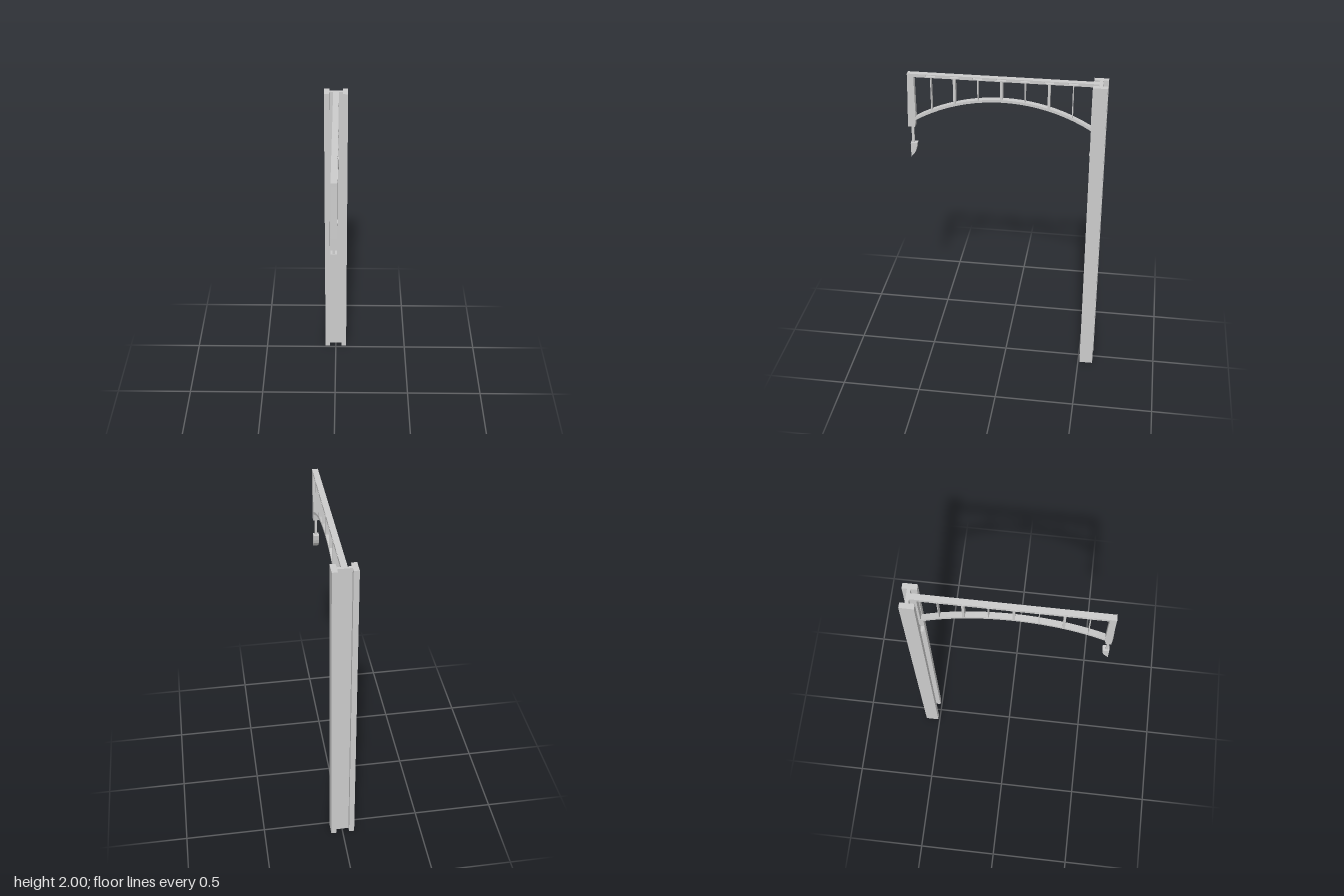
import * as THREE from 'three';

const HALF = 0.018;      // half width of the arm
const MID = 0.02;        // centre of the arm along z
const material = new THREE.MeshStandardMaterial({ color: 0xcccccc, flatShading: true });

export function createModel() {
  const group = new THREE.Group();

  const add = (name, geometry) => {
    const mesh = new THREE.Mesh(geometry, material);
    mesh.name = name;
    group.add(mesh);
    return mesh;
  };

  const box = (name, x0, x1, y0, y1, z0, z1) => add(name,
    new THREE.BoxGeometry(x1 - x0, y1 - y0, z1 - z0)
      .translate((x0 + x1) / 2, (y0 + y1) / 2, (z0 + z1) / 2));

  const toVectors = (points) => points.map(([z, y]) => new THREE.Vector2(z, y));

  // Side profile in (z, y), extruded across the arm's width
  const profile = (name, points, holes = []) => {
    const shape = new THREE.Shape(toVectors(points));
    holes.forEach((h) => shape.holes.push(new THREE.Path(toVectors(h))));
    const geometry = new THREE.ExtrudeGeometry(shape, { depth: HALF * 2, bevelEnabled: false });
    return add(name, geometry.translate(0, 0, -HALF).rotateY(-Math.PI / 2));
  };

  const rect = (z0, z1, y0, y1) => [[z0, y0], [z1, y0], [z1, y1], [z0, y1]];

  // H-section column
  const hSection = [[0.075, 0.595], [0.042, 0.595], [0.042, 0.565], [-0.042, 0.565],
    [-0.042, 0.595], [-0.075, 0.595], [-0.075, 0.51], [-0.042, 0.51],
    [-0.042, 0.545], [0.042, 0.545], [0.042, 0.51], [0.075, 0.51]];
  add('column', new THREE.ExtrudeGeometry(new THREE.Shape(toVectors(hSection)),
    { depth: 2, bevelEnabled: false }).rotateX(-Math.PI / 2));

  // Top beam with a narrow slot over each baluster
  const balusters = [-3, -2, -1, 0, 1, 2, 3].map((i) => MID + 0.005 + i * 0.14);
  profile('topBeam', rect(-0.545, 0.585, 1.98, 2),
    balusters.map((z) => rect(z - 0.028, z + 0.028, 1.986, 1.995)));

  // Arched lower rib
  const radius = 1.023, centreY = 0.842, thickness = 0.016, segments = 20;
  const archY = (z, r) => centreY + Math.sqrt(r * r - (z - MID) ** 2);
  const outer = [], inner = [];
  for (let i = 0; i <= segments; i++) {
    const z = MID - 0.53 + (1.06 * i) / segments;
    outer.push([z, archY(z, radius)]);
    inner.unshift([z, archY(z, radius - thickness)]);
  }
  profile('arch', [...outer, ...inner]);

  // Balusters, alternately thick and thin
  balusters.forEach((z, i) => {
    const t = i % 2 ? 0.007 : 0.0025;
    box('baluster', -HALF, HALF, archY(z, radius) - 0.006, 1.983, z - t, z + t);
  });

  // End posts and their hanging pendants, mirrored about the arm's centre
  for (const side of [1, -1]) {
    const end = side > 0 ? 'front' : 'back';
    const flip = (points) => points.map(([z, y]) => [MID + side * (z - MID), y]);

    const post = profile(end + 'Post', flip([[0.584, 2], [0.547, 2], [0.545, 1.715],
      [0.552, 1.655], [0.59, 1.655]]));
    // Slight skew of the front post's lower outer edge
    if (side > 0) {
      const p = post.geometry.attributes.position;
      for (let i = 0; i < p.count; i++) {
        if (p.getZ(i) > 0.588) p.setZ(i, p.getX(i) > 0 ? 0.595 : 0.586);
      }
      post.geometry.computeVertexNormals();
    }

    const [[za], [zb]] = flip([[0.562, 0], [0.577, 0]]);
    box(end + 'PendantRod', -0.007, 0.007, 1.54, 1.66, Math.min(za, zb), Math.max(za, zb));
    profile(end + 'PendantTip', flip([[0.584, 1.545], [0.544, 1.545], [0.549, 1.51],
      [0.557, 1.485], [0.584, 1.45]]));
  }

  return group;
}
